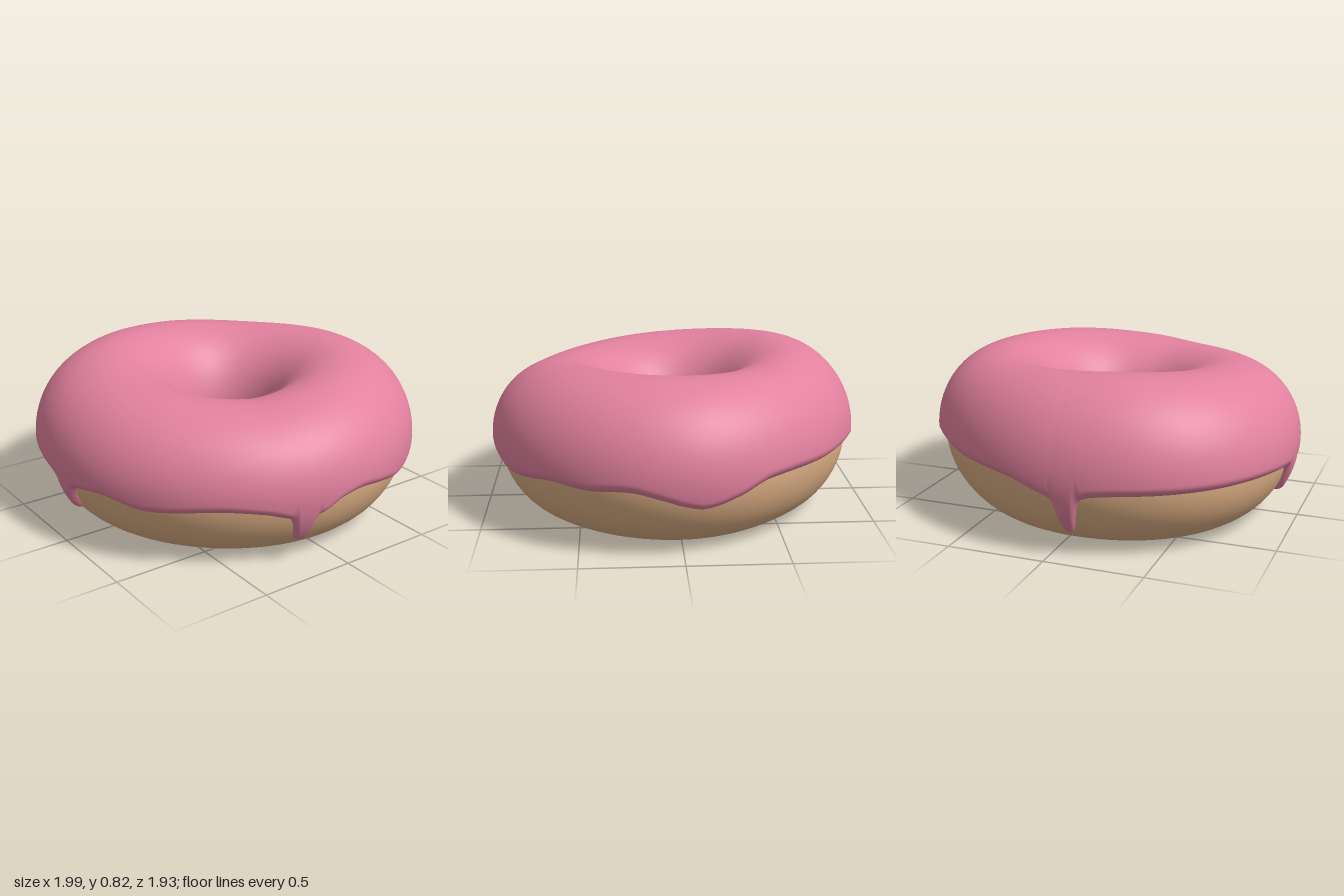
import * as THREE from 'three';

const TAU = Math.PI * 2;

// Smooth periodic curve through [degrees, value] keys
function ring(keys) {
  const n = keys.length;
  const key = i => [keys[((i % n) + n) % n][0] + 360 * Math.floor(i / n), keys[((i % n) + n) % n][1]];
  const slope = i => (key(i + 1)[1] - key(i - 1)[1]) / (key(i + 1)[0] - key(i - 1)[0]);
  return deg => {
    let d = ((deg % 360) + 360) % 360;
    if (d < keys[0][0]) d += 360;
    let i = 0;
    while (i < n - 1 && key(i + 1)[0] <= d) i++;
    const [x0, y0] = key(i), [x1, y1] = key(i + 1), h = x1 - x0, u = (d - x0) / h;
    const u2 = u * u, u3 = u2 * u;
    return y0 * (2 * u3 - 3 * u2 + 1) + y1 * (3 * u2 - 2 * u3)
      + h * (slope(i) * (u3 - 2 * u2 + u) + slope(i + 1) * (u3 - u2));
  };
}

// Uneven outline and top height around the ring (0 = +x, 90 = +z)
const outline = ring([[0, 1.0], [45, 0.985], [90, 0.965], [135, 0.95], [180, 0.99], [225, 1.035], [270, 0.965], [315, 0.925]]);
const topHeight = ring([[0, 0.8], [45, 0.795], [90, 0.755], [115, 0.735], [180, 0.775], [240, 0.82], [270, 0.815], [315, 0.79]]);

// Wavy lower edge of the icing, plus three narrow drips
const wave = ring([[0, 0.28], [6, 0.315], [15, 0.352], [28, 0.335], [41, 0.34], [61, 0.295], [73, 0.33], [82, 0.354],
  [90, 0.335], [96, 0.28], [102, 0.26], [107, 0.275], [115, 0.315], [128, 0.336], [151, 0.302], [165, 0.333], [176, 0.31],
  [183, 0.28], [190, 0.32], [210, 0.35], [240, 0.35], [257, 0.33], [265, 0.28], [273, 0.32], [285, 0.372], [310, 0.376],
  [334, 0.372], [344, 0.31], [354, 0.262]]);
const drips = [[102, 0.15], [183, 0.14], [265, 0.19]];
function icingEdge(deg) {
  let y = wave(deg);
  for (const [at, depth] of drips) y -= depth * Math.exp(-(((deg - at) / 3.2) ** 4));
  return y;
}

// Ring cross-section: k = 0 is the dough skin, k = 1 the icing skin
function skin(deg, t, k) {
  const a = deg * TAU / 360;
  let r = 0.61 + (0.35 + 0.04 * k) * Math.cos(t);
  let y = 0.372 + 0.018 * k + (0.376 + 0.034 * k) * Math.sin(t);
  r = 0.22 + (r - 0.22) * (outline(deg) - 0.22) / 0.78;
  if (y > 0.39) y = 0.39 + (y - 0.39) * (topHeight(deg) - 0.39) / 0.41;
  return [r * Math.cos(a), Math.max(y, 0), r * Math.sin(a)];
}

// Grid wrapped around the ring; optionally closed across the section too
function sweep(cols, rows, closed, point) {
  const pos = [], index = [], count = closed ? rows : rows + 1;
  for (let i = 0; i < cols; i++)
    for (let j = 0; j < count; j++) pos.push(...point(i * 360 / cols, j / rows));
  for (let i = 0; i < cols; i++)
    for (let j = 0; j < rows; j++) {
      const i1 = (i + 1) % cols, j1 = (j + 1) % count;
      const a = i * count + j, b = i1 * count + j, c = i1 * count + j1, d = i * count + j1;
      index.push(a, b, d, b, c, d);
    }
  const g = new THREE.BufferGeometry();
  g.setAttribute('position', new THREE.Float32BufferAttribute(pos, 3));
  g.setIndex(index);
  g.computeVertexNormals();
  return g;
}

export function createModel() {
  const group = new THREE.Group();
  group.name = 'donut';

  // Dough ring with a slightly flattened base
  const dough = new THREE.Mesh(
    sweep(128, 64, true, (deg, v) => skin(deg, Math.PI - v * TAU, 0)),
    new THREE.MeshStandardMaterial({ color: 0xdcae84 }));
  dough.name = 'dough';

  // Icing from inside the hole, over the top, to the rounded wavy edge
  const innerY = 0.39, lip = 0.035;
  const icing = new THREE.Mesh(
    sweep(600, 64, false, (deg, v) => {
      const edge = icingEdge(deg);
      const steep = (icingEdge(deg + 0.3) - icingEdge(deg - 0.3)) / (0.6 * TAU / 360);
      const end = Math.asin((edge - 0.39) / 0.41);
      const f = v - 0.85 * Math.sin(v * TAU) / TAU;
      const t = Math.PI + (end - Math.PI) * f;
      const toOuter = (t - end) * 0.4 / Math.hypot(1, steep);
      const toInner = (Math.PI - t) * 0.4;
      const d = Math.min(1, Math.min(toOuter, toInner) / lip);
      const k = -0.12 + 1.12 * Math.sqrt(Math.max(0, 1 - (1 - d) ** 2));
      return skin(deg, t + (innerY - 0.39), k);
    }),
    new THREE.MeshStandardMaterial({ color: 0xe2819f, side: THREE.DoubleSide }));
  icing.name = 'icing';

  group.add(dough, icing);
  return group;
}
